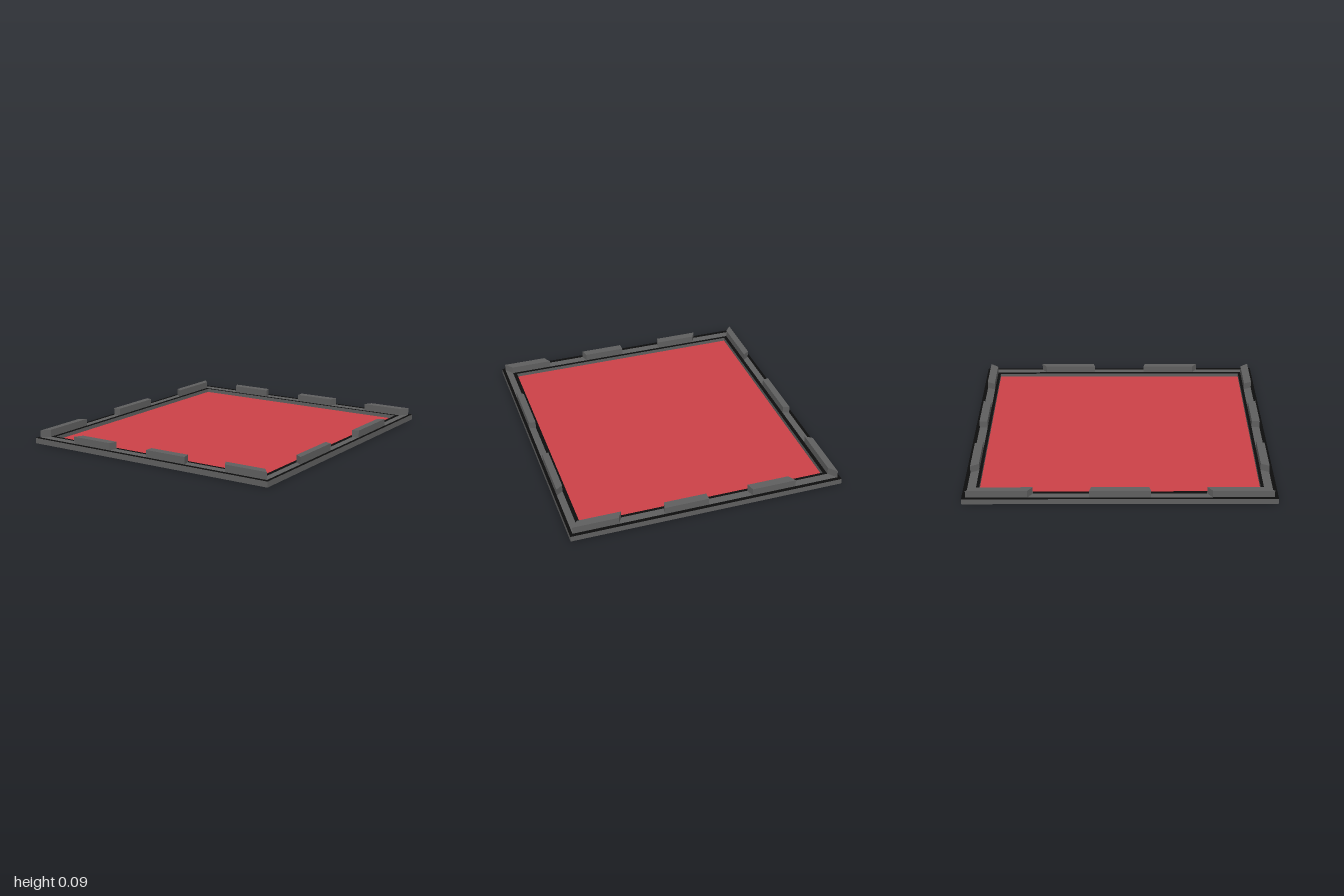
import * as THREE from 'three';

const grey = new THREE.MeshStandardMaterial({ color: 0x5f5f5f });
const black = new THREE.MeshStandardMaterial({ color: 0x0c0c0c });
const red = new THREE.MeshStandardMaterial({ color: 0xcc4147 });

const FLOOR = 0.01, RIM = 0.037, TOP = 0.085;

// Half sizes [x, z] of the nested rectangles, from the outside in
const EDGE = [0.91, 1], WALL_OUT = [0.89, 0.975], WALL_IN = [0.845, 0.92], PANEL = [0.82, 0.9];

const corners = ([x, z]) =>
  [[-x, z], [x, z], [x, -z], [-x, -z]].map(([a, b]) => new THREE.Vector2(a, b));

// Extrude a plan outline, given as (x, z) points, from y0 up to y1
function slab(name, outline, hole, y0, y1, materials) {
  const flip = (pts) => pts.map((p) => new THREE.Vector2(p.x, -p.y));
  const shape = new THREE.Shape(flip(outline));
  if (hole) shape.holes.push(new THREE.Path(flip(hole)));
  const geometry = new THREE.ExtrudeGeometry(shape, { depth: y1 - y0, bevelEnabled: false });
  geometry.rotateX(-Math.PI / 2).translate(0, y0, 0);
  const mesh = new THREE.Mesh(geometry, materials);
  mesh.name = name;
  return mesh;
}

export function createModel() {
  const model = new THREE.Group();
  model.name = 'walledTray';

  // Base and sunken floor panel
  model.add(slab('basePlate', corners(EDGE), null, 0, FLOOR, grey));
  model.add(slab('floorPanel', corners(PANEL), null, FLOOR, FLOOR + 0.002, red));

  // Rim: dark ledges on either side of the grey wall track
  model.add(slab('outerLedge', corners(EDGE), corners(WALL_OUT), FLOOR, RIM, [black, grey]));
  model.add(slab('wallTrack', corners(WALL_OUT), corners(WALL_IN), FLOOR, RIM, grey));
  model.add(slab('innerLedge', corners(WALL_IN), corners(PANEL), FLOOR, RIM, [black, grey]));

  // Battlements: every second segment of the track is raised, all the way round
  const battlements = new THREE.Group();
  battlements.name = 'battlements';
  const outer = corners(WALL_OUT), inner = corners(WALL_IN);
  let index = 0;
  [6, 5, 6, 5].forEach((count, side) => {
    const next = (side + 1) % 4;
    const at = (ring, t) => ring[side].clone().lerp(ring[next], t);
    for (let i = 0; i < count; i++, index++) {
      if (index % 2 === 0) continue;
      const a = i / count, b = (i + 1) / count;
      const outline = [at(outer, a), at(outer, b), at(inner, b), at(inner, a)];
      battlements.add(slab('battlement', outline, null, RIM, TOP, grey));
    }
  });
  model.add(battlements);
  return model;
}
